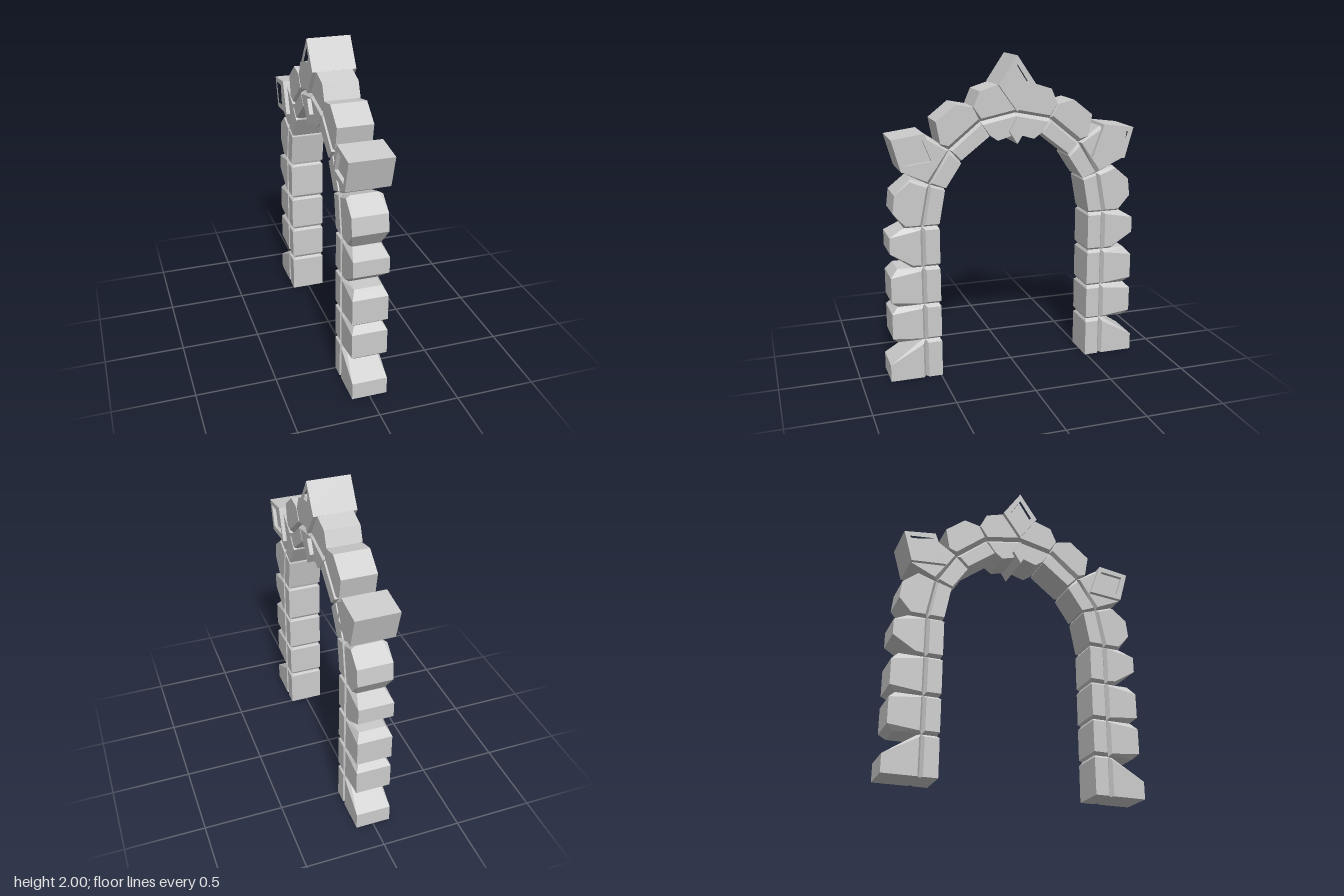
import * as THREE from 'three';
import { ConvexGeometry } from 'three/addons/geometries/ConvexGeometry.js';

const material = new THREE.MeshStandardMaterial({ color: 0xcccccc, flatShading: true });
const FACE = 0.11;   // half width of a stone's face
const JOINT = 0.085; // half width where chamfers meet the next stone
const WIDE = 0.135;  // half width of the raised diamond blocks

// Stones of one side from the ground up, as [z, y] outlines:
// face = flat side outline, joint = outline at the bottom of the chamfers.
const outerStones = [
  { name: 'outerFoot',
    face: [[0.61, 0], [0.82, 0], [0.82, 0.11], [0.61, 0.225]],
    joint: [[0.594, 0], [0.82, 0], [0.594, 0.25], [0.62, 0.245]] },
  { name: 'outerPillarLow',
    face: [[0.61, 0.265], [0.8, 0.285], [0.8, 0.445], [0.61, 0.465]],
    joint: [[0.594, 0.25], [0.76, 0.25], [0.76, 0.485], [0.594, 0.485]] },
  { name: 'outerPillarMiddle',
    face: [[0.61, 0.5], [0.8, 0.52], [0.8, 0.68], [0.61, 0.71]],
    joint: [[0.594, 0.485], [0.755, 0.485], [0.755, 0.73], [0.594, 0.73]] },
  { name: 'outerPillarHigh',
    face: [[0.61, 0.745], [0.66, 0.75], [0.8, 0.835], [0.8, 0.935], [0.61, 0.97]],
    joint: [[0.594, 0.73], [0.66, 0.73], [0.71, 0.985], [0.594, 0.985]] },
  { name: 'outerSpringer',
    face: [[0.61, 1.0], [0.7, 1.0], [0.775, 1.085], [0.762, 1.195], [0.665, 1.27], [0.565, 1.23]],
    joint: [[0.594, 0.985], [0.706, 0.985], [0.66, 1.285], [0.545, 1.245]] },
  { name: 'outerHaunch',
    face: [[0.56, 1.265], [0.715, 1.335], [0.74, 1.5], [0.58, 1.535], [0.435, 1.445]],
    joint: [[0.545, 1.245], [0.7, 1.33], [0.56, 1.545], [0.418, 1.45]] },
  { name: 'outerShoulder',
    face: [[0.425, 1.475], [0.475, 1.49], [0.5, 1.623], [0.377, 1.72], [0.28, 1.7], [0.24, 1.625]],
    joint: [[0.418, 1.45], [0.47, 1.475], [0.49, 1.61], [0.265, 1.7], [0.222, 1.61]] },
  { name: 'outerCrown',
    face: [[0.22, 1.63], [0.268, 1.7], [0.228, 1.793], [0.11, 1.83], [0, 1.83], [0, 1.675]],
    joint: [[0.222, 1.61], [0.265, 1.69], [0, 1.83], [0, 1.655]] },
];
const innerStones = [
  { name: 'innerSpringer',
    face: [[0.578, 1.0], [0.49, 1.0], [0.452, 1.205], [0.535, 1.23]],
    joint: [[0.594, 0.985], [0.495, 0.985], [0.455, 1.215], [0.545, 1.245]] },
  { name: 'innerHaunch',
    face: [[0.53, 1.255], [0.445, 1.22], [0.35, 1.363], [0.42, 1.425]],
    joint: [[0.545, 1.245], [0.455, 1.215], [0.35, 1.375], [0.418, 1.45]] },
  { name: 'innerShoulder',
    face: [[0.403, 1.442], [0.345, 1.385], [0.17, 1.52], [0.225, 1.59]],
    joint: [[0.418, 1.45], [0.35, 1.375], [0.175, 1.53], [0.222, 1.61]] },
  { name: 'innerCrown',
    face: [[0.212, 1.59], [0.165, 1.525], [0.116, 1.49], [0, 1.525], [0, 1.635]],
    joint: [[0.222, 1.61], [0.175, 1.53], [0.12, 1.5], [0, 1.53], [0, 1.655]] },
];
// Four square courses of the pillar's inner face
const courses = [0, 0.25, 0.485, 0.73, 0.985];
for (let i = 0; i < 4; i++) {
  const low = courses[i], high = courses[i + 1], gap = i ? 0.018 : 0;
  innerStones.push({ name: 'innerPillar',
    face: [[0.49, low + gap], [0.578, low + gap], [0.578, high - 0.018], [0.49, high - 0.018]],
    joint: [[0.5, low], [0.594, low], [0.594, high], [0.5, high]] });
}

function addMesh(group, name, geometry) {
  const mesh = new THREE.Mesh(geometry, material);
  mesh.name = name;
  group.add(mesh);
}

// Chamfered stone: hull of the two side faces and the narrower joint outline
function stone(face, joint, side) {
  const points = [];
  for (const [outline, half] of [[face, FACE], [joint, JOINT]])
    for (const [z, y] of outline)
      for (const x of [-half, half]) points.push(new THREE.Vector3(x, y, z * side));
  return new ConvexGeometry(points);
}

// Prism across the arch from a [z, y] outline, with an optional opening
function prism(outline, half, side, opening) {
  const toPoints = (list) => list.map(([z, y]) => new THREE.Vector2(z * side, y));
  const shape = new THREE.Shape(toPoints(outline));
  if (opening) shape.holes.push(new THREE.Path(toPoints(opening)));
  const geometry = new THREE.ExtrudeGeometry(shape, { depth: half * 2, bevelEnabled: false });
  return geometry.translate(0, 0, -half).rotateY(-Math.PI / 2);
}

// Raised block whose two sides carry a sunken diamond panel
function panelBlock(group, name, outline, opening, side) {
  addMesh(group, name + 'Frame', prism(outline, WIDE, side, opening));
  addMesh(group, name + 'Panel', prism(opening, FACE + 0.002, side));
}

export function createModel() {
  const arch = new THREE.Group();
  arch.name = 'stoneArch';

  for (const side of [1, -1]) {
    const half = new THREE.Group();
    half.name = side > 0 ? 'frontHalf' : 'backHalf';
    for (const { name, face, joint } of [...outerStones, ...innerStones])
      addMesh(half, name, stone(face, joint, side));
    panelBlock(half, 'haunchBlock',
      [[0.775, 1.533], [0.575, 1.56], [0.5, 1.355], [0.72, 1.337]],
      [[0.737, 1.508], [0.588, 1.523], [0.535, 1.392], [0.692, 1.374]], side);
    arch.add(half);
  }

  // Keystone on top and the small pendant under the crown
  panelBlock(arch, 'keystone',
    [[0, 2], [0.117, 1.828], [0, 1.665], [-0.117, 1.828]],
    [[0, 1.945], [0.075, 1.828], [0, 1.72], [-0.075, 1.828]], 1);
  addMesh(arch, 'pendant',
    prism([[0, 1.63], [0.048, 1.545], [0, 1.468], [-0.048, 1.545]], WIDE, 1));

  return arch;
}
